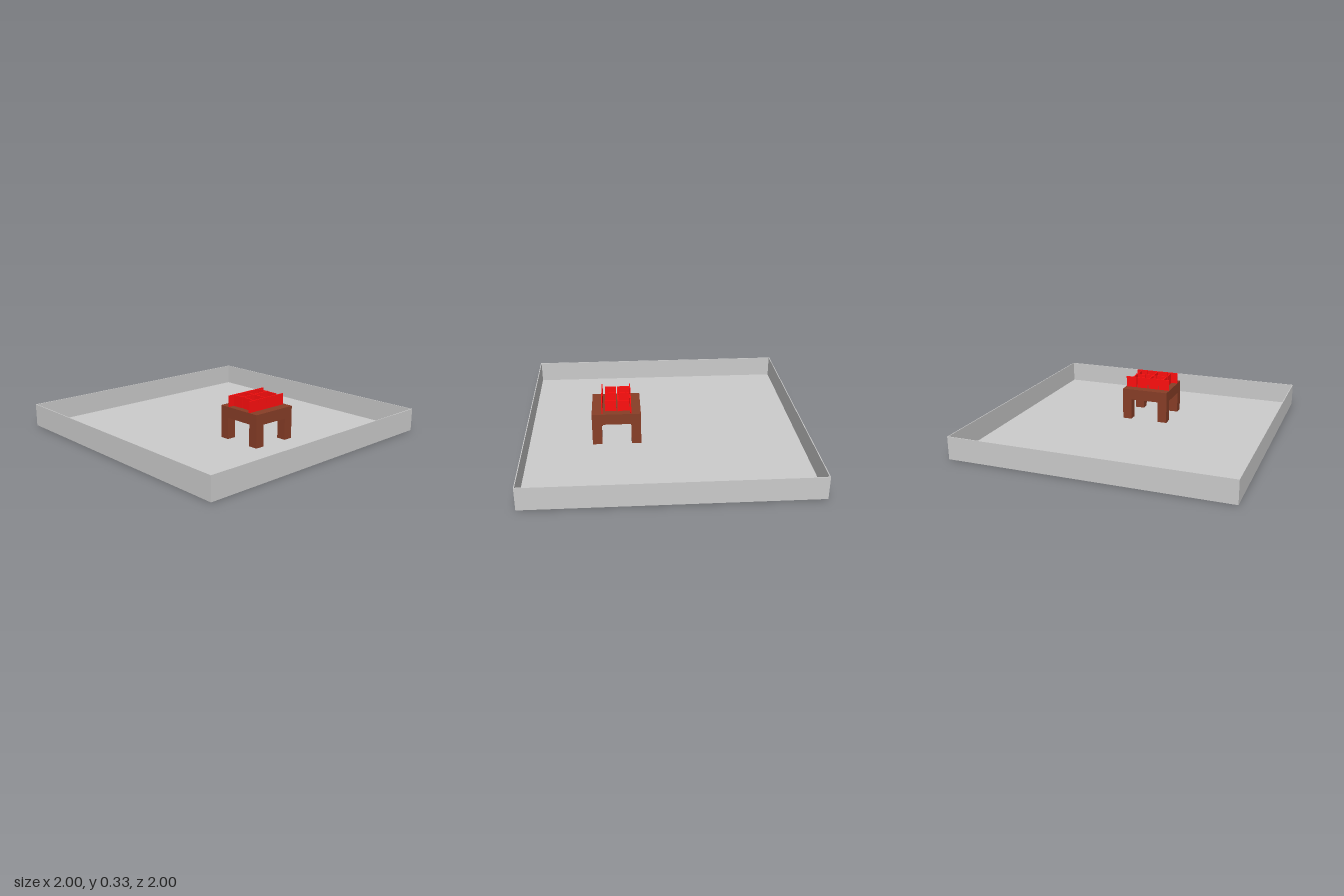
import * as THREE from 'three';

export function createModel() {
  const model = new THREE.Group();
  const grey = new THREE.MeshStandardMaterial({ color: 0xcccccc });
  const brown = new THREE.MeshStandardMaterial({ color: 0x883e27 });
  const red = new THREE.MeshStandardMaterial({ color: 0xff0f0f });

  // Box sized w, h, d, standing with its base centre at x, y, z
  function box(parent, name, material, [w, h, d], [x, y, z]) {
    const mesh = new THREE.Mesh(new THREE.BoxGeometry(w, h, d), material);
    mesh.position.set(x, y + h / 2, z);
    mesh.name = name;
    parent.add(mesh);
  }
  function group(name) {
    const g = new THREE.Group();
    g.name = name;
    model.add(g);
    return g;
  }

  // Room: thin floor with four low walls
  const t = 0.006, wallH = 0.165;
  const room = group('room');
  box(room, 'floor', grey, [2, t, 2], [0, 0, 0]);
  for (const s of [-1, 1]) {
    box(room, 'sideWall', grey, [t, wallH - t, 2], [s * (1 - t / 2), t, 0]);
    box(room, s > 0 ? 'frontWall' : 'backWall', grey, [2 - 2 * t, wallH - t, t], [0, t, s * (1 - t / 2)]);
  }

  // Table: thick square top on four flush legs
  const size = 0.355, leg = 0.07, topY = 0.165, surface = 0.246;
  const cx = 0.354, cz = -0.011;
  const table = group('table');
  box(table, 'tableTop', brown, [size, surface - topY, size], [cx, topY, cz]);
  const off = (size - leg) / 2;
  for (const sx of [-1, 1]) {
    for (const sz of [-1, 1]) {
      box(table, 'tableLeg', brown, [leg, topY - t, leg], [cx + sx * off, t, cz + sz * off]);
    }
  }

  // Upright square tiles laid out as a small maze on the table
  const tile = 0.082, thin = 0.008;
  const maze = group('mazeWalls');
  const lengthwise = [
    [0.249, [0.122, 0.036, -0.054, -0.143]],
    [0.34, [0.07, -0.016, -0.1]],
    [0.457, [0.124, 0.04, -0.045, -0.13]],
  ];
  for (const [x, centres] of lengthwise) {
    for (const z of centres) box(maze, 'lengthwiseTile', red, [thin, tile, tile], [x, surface, z]);
  }
  for (const z of [-0.128, 0.004, 0.114]) {
    for (const x of [0.296, 0.394]) box(maze, 'crosswiseTile', red, [tile, tile, thin], [x, surface, z]);
  }

  return model;
}
